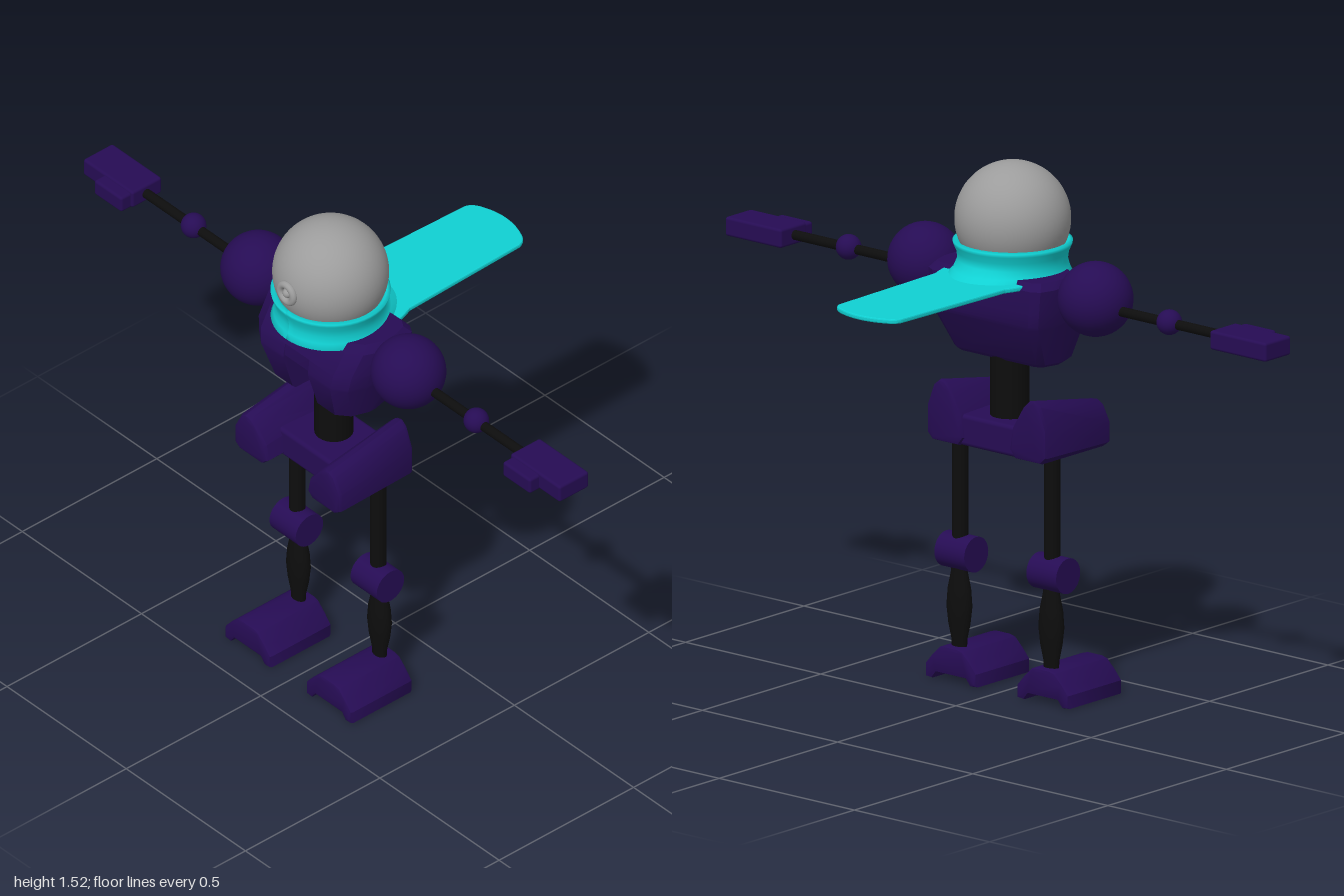
import * as THREE from 'three';
import { toCreasedNormals } from 'three/addons/utils/BufferGeometryUtils.js';
import { RoundedBoxGeometry } from 'three/addons/geometries/RoundedBoxGeometry.js';

const mat = (name, color, side = THREE.FrontSide) => {
  const m = new THREE.MeshStandardMaterial({ color, side });
  m.name = name;
  return m;
};

// Extrude a front outline along z from z0 to z1 with a small bevel
function prism(points, z0, z1, bevel) {
  const shape = new THREE.Shape(points.map(p => new THREE.Vector2(...p)));
  const g = new THREE.ExtrudeGeometry(shape, {
    depth: z1 - z0 - 2 * bevel, bevelEnabled: true, bevelSize: bevel,
    bevelThickness: bevel, bevelOffset: -bevel, bevelSegments: 2
  });
  return g.translate(0, 0, z0 + bevel);
}

// Move every vertex by a rule
function warp(g, rule) {
  const p = g.attributes.position, v = new THREE.Vector3();
  for (let i = 0; i < p.count; i++) {
    rule(v.fromBufferAttribute(p, i));
    p.setXYZ(i, v.x, v.y, v.z);
  }
  g.computeVertexNormals();
  return g;
}

// Chest: stacked sections with a slot at the lower front for the spine
function chestGeometry() {
  // y, half width, back z, front z, slot floor z
  const rows = [
    [0.965, 0.165, 0.18, 0.325, 0.25], [0.975, 0.178, 0.17, 0.335, 0.25],
    [1.09, 0.207, 0.112, 0.37, 0.25], [1.1, 0.209, 0.108, 0.37, 0.365],
    [1.14, 0.216, 0.104, 0.365, 0.364], [1.205, 0.22, 0.106, 0.325, 0.324],
    [1.225, 0.205, 0.125, 0.305, 0.304]
  ];
  const loops = rows.map(([y, w, zb, zf, zn]) => {
    const half = [[0.05, zn], [0.052, zf], [w * 0.7, zf], [w * 0.9, zf - 0.03],
      [w, zf - 0.08], [w, zb + 0.06], [w * 0.94, zb + 0.015], [w * 0.82, zb]];
    const other = half.map(([x, z]) => [-x, z]).reverse();
    return [...half, ...other].map(([x, z]) => [x, y, z]);
  });
  const n = loops[0].length, index = [];
  for (let r = 0; r < loops.length - 1; r++) {
    for (let i = 0; i < n; i++) {
      const a = r * n + i, b = r * n + (i + 1) % n;
      index.push(a, b, b + n, a, b + n, a + n);
    }
  }
  const cap = loop => THREE.ShapeUtils.triangulateShape(loop.map(p => new THREE.Vector2(p[0], -p[2])), []);
  const top = (loops.length - 1) * n;
  cap(loops[0]).forEach(([a, b, c]) => index.push(a, c, b));
  cap(loops[loops.length - 1]).forEach(([a, b, c]) => index.push(top + a, top + b, top + c));
  const g = new THREE.BufferGeometry();
  g.setAttribute('position', new THREE.Float32BufferAttribute(loops.flat(2), 3));
  g.setIndex(index);
  return toCreasedNormals(g, 0.5);
}

// Scarf collar: waisted ring whose lower back flows into the cape
function collarGeometry() {
  const profile = [[0.158, 1.205], [0.167, 1.207], [0.159, 1.225], [0.154, 1.245], [0.157, 1.268],
    [0.166, 1.288], [0.168, 1.298], [0.158, 1.302], [0.145, 1.29]].map(p => new THREE.Vector2(...p));
  return warp(new THREE.LatheGeometry(profile, 48), v => {
    const back = Math.max(0, -v.z / 0.16), low = Math.max(0, (1.255 - v.y) / 0.05);
    v.z -= 0.06 * back * back * low * low;
  });
}

// Cape: flat tongue with a curved end, drawn in x and -z
function capeGeometry() {
  const s = new THREE.Shape();
  s.moveTo(-0.163, -0.2);
  s.quadraticCurveTo(-0.155, -0.12, -0.13, -0.06);
  s.lineTo(-0.117, 0.36);
  s.quadraticCurveTo(-0.112, 0.385, -0.08, 0.397);
  s.quadraticCurveTo(0, 0.43, 0.08, 0.397);
  s.quadraticCurveTo(0.112, 0.385, 0.117, 0.36);
  s.lineTo(0.13, -0.06);
  s.quadraticCurveTo(0.155, -0.12, 0.163, -0.2);
  const g = new THREE.ExtrudeGeometry(s, {
    depth: 0.006, bevelEnabled: true, bevelSize: 0.004, bevelThickness: 0.004,
    bevelOffset: -0.004, bevelSegments: 2, curveSegments: 10
  });
  return g.rotateX(-Math.PI / 2).translate(0, 1.205, 0);
}

export function createModel() {
  const model = new THREE.Group();
  model.name = 'robot';
  const purple = mat('deep purple', 0x260c54);
  const black = mat('black', 0x0d0d0d);
  const grey = mat('helmet grey', 0x9c9c9c);
  const teal = mat('scarf teal', 0x10d0d2, THREE.DoubleSide);

  const add = (name, g, m, x = 0, y = 0, z = 0, parent = model) => {
    const mesh = new THREE.Mesh(g, m);
    mesh.name = name;
    mesh.position.set(x, y, z);
    parent.add(mesh);
    return mesh;
  };

  // Head with a round face port
  add('head', new THREE.SphereGeometry(0.163, 48, 32), grey, 0, 1.36, 0.24);
  add('facePortRing', new THREE.TorusGeometry(0.027, 0.011, 12, 32), grey, 0, 1.365, 0.402);
  add('facePortKnob', new THREE.SphereGeometry(0.014, 16, 12), grey, 0, 1.365, 0.4);

  // Scarf
  add('scarfCollar', collarGeometry(), teal, 0, 0, 0.24);
  add('cape', capeGeometry(), teal);

  // Body
  add('chest', chestGeometry(), purple);
  add('spine', new THREE.CylinderGeometry(0.055, 0.055, 0.34, 24), black, 0, 0.93, 0.228);
  add('pelvis', new RoundedBoxGeometry(0.24, 0.09, 0.2, 2, 0.012), purple, 0, 0.75, 0.235);

  // Shared limb shapes
  const hip = warp(prism([[0.085, 0.73], [0.105, 0.705], [0.2, 0.705], [0.22, 0.725], [0.22, 0.805],
    [0.195, 0.87], [0.175, 0.886], [0.155, 0.882], [0.135, 0.862], [0.095, 0.795]], 0.125, 0.405, 0.012), v => {
    v.y = 0.705 + (v.y - 0.705) * (1 - 0.28 * (v.z - 0.125) / 0.28);
  });
  const foot = prism([[0.07, 0.002], [0.095, 0], [0.112, 0.02], [0.228, 0.02], [0.245, 0], [0.27, 0.002],
    [0.27, 0.04], [0.245, 0.068], [0.215, 0.095], [0.195, 0.1], [0.145, 0.1], [0.125, 0.095],
    [0.095, 0.068], [0.07, 0.04]], 0.17, 0.4, 0.008);
  // Pinch the toe and heel corners
  warp(foot, v => {
    const end = Math.max(0, Math.abs(v.z - 0.285) - 0.085) / 0.03;
    v.x = 0.17 + (v.x - 0.17) * (1 - 0.06 * end);
  });
  const shin = new THREE.LatheGeometry([[0.024, 0.08], [0.026, 0.12], [0.036, 0.165], [0.042, 0.215],
    [0.038, 0.265], [0.028, 0.31], [0.024, 0.34]].map(p => new THREE.Vector2(...p)), 20);
  shin.scale(1, 1, 0.66);
  const hipCreased = toCreasedNormals(hip, 0.6), footCreased = toCreasedNormals(foot, 0.6);

  for (const [side, s] of [['left', 1], ['right', -1]]) {
    // Arm along x
    const arm = new THREE.Group();
    arm.name = side + 'Arm';
    model.add(arm);
    add('shoulder', new THREE.SphereGeometry(0.106, 40, 24), purple, s * 0.315, 1.185, 0.23, arm);
    add('armRod', new THREE.CylinderGeometry(0.014, 0.014, 0.46, 16), black, s * 0.59, 1.168, 0.224, arm)
      .rotation.z = Math.PI / 2;
    add('elbow', new THREE.SphereGeometry(0.036, 24, 16), purple, s * 0.593, 1.17, 0.224, arm);
    add('palm', new RoundedBoxGeometry(0.208, 0.055, 0.11, 2, 0.008), purple, s * 0.896, 1.167, 0.22, arm);
    add('thumb', new RoundedBoxGeometry(0.115, 0.05, 0.07, 2, 0.008), purple, s * 0.857, 1.163, 0.275, arm);

    // Leg, mirrored as a group
    const leg = new THREE.Group();
    leg.name = side + 'Leg';
    leg.scale.x = s;
    model.add(leg);
    add('hip', hipCreased, purple, 0, 0, 0, leg);
    add('thigh', new THREE.CylinderGeometry(0.023, 0.023, 0.34, 20), black, 0.17, 0.55, 0.213, leg);
    add('knee', new THREE.CylinderGeometry(0.051, 0.051, 0.11, 28), purple, 0.17, 0.37, 0.217, leg)
      .rotation.z = Math.PI / 2;
    add('shin', shin, black, 0.17, 0, 0.209, leg);
    add('foot', footCreased, purple, 0, 0, 0, leg);
  }
  return model;
}
